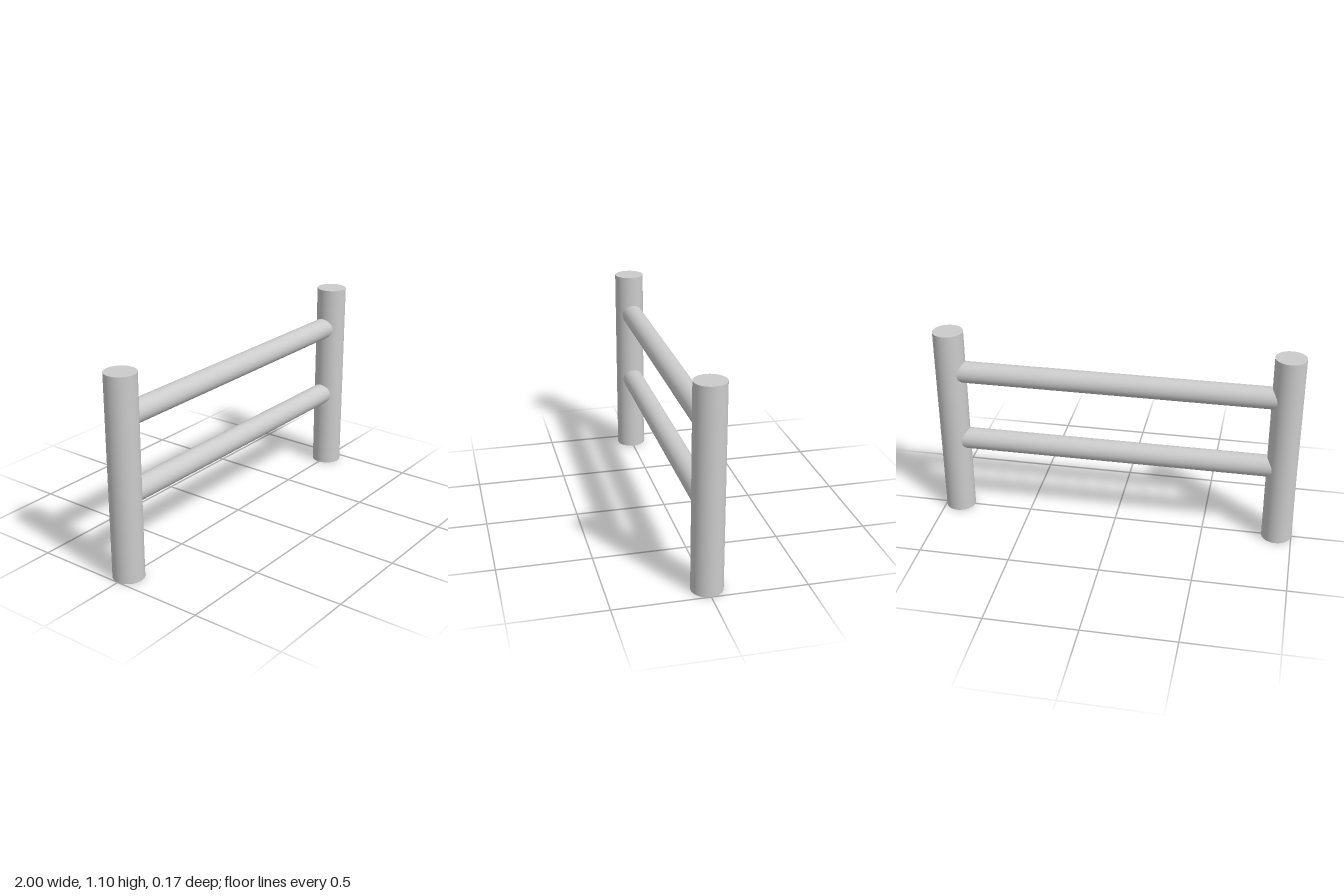
import * as THREE from 'three';

const POST_R = 0.083, POST_H = 1.1, POST_X = 0.917;
const RAIL_R = 0.06, RAIL_Z = -0.005;

const material = new THREE.MeshStandardMaterial({ color: 0xcccccc, side: THREE.DoubleSide });

// Upright tube with a closed top and an open foot
function createPost(side) {
  const post = new THREE.Group();
  post.name = side > 0 ? 'leftPost' : 'rightPost';
  const wall = new THREE.Mesh(new THREE.CylinderGeometry(POST_R, POST_R, POST_H, 64, 1, true), material);
  wall.name = 'postWall';
  wall.position.y = POST_H / 2;
  const cap = new THREE.Mesh(new THREE.CircleGeometry(POST_R, 64), material);
  cap.name = 'postCap';
  cap.rotation.x = -Math.PI / 2;
  cap.position.y = POST_H;
  post.add(wall, cap);
  post.position.x = side * POST_X;
  return post;
}

// Round bar whose ends are coped to fit the curve of the posts
function createRail(name, y) {
  const geometry = new THREE.CylinderGeometry(RAIL_R, RAIL_R, 2 * POST_X, 64, 1, true);
  geometry.rotateZ(Math.PI / 2).translate(0, 0, RAIL_Z);
  const p = geometry.attributes.position;
  for (let i = 0; i < p.count; i++) {
    const reach = POST_X - Math.sqrt(POST_R ** 2 - p.getZ(i) ** 2);
    p.setX(i, Math.sign(p.getX(i)) * reach);
  }
  const rail = new THREE.Mesh(geometry, material);
  rail.name = name;
  rail.position.y = y;
  return rail;
}

export function createModel() {
  const model = new THREE.Group();
  model.name = 'railFence';
  for (const side of [-1, 1]) model.add(createPost(side));
  model.add(createRail('upperRail', 0.865), createRail('lowerRail', 0.45));
  return model;
}
